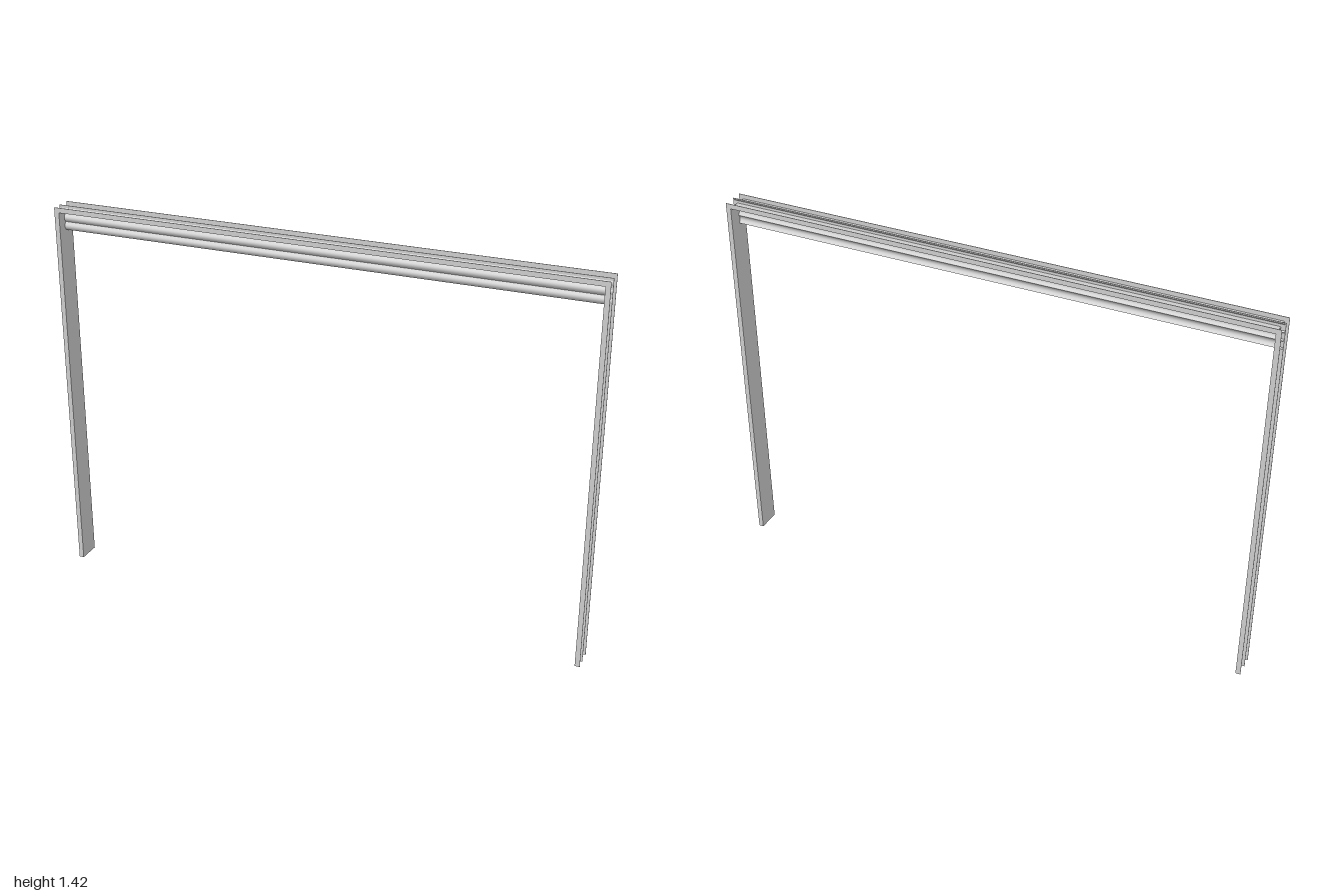
import * as THREE from 'three';

const H = 1.417, LIP = 0.017, DEPTH = 0.085, T = 0.002;

export function createModel() {
  const group = new THREE.Group();
  const mat = new THREE.MeshStandardMaterial({ color: 0xcccccc, side: THREE.DoubleSide });

  const add = (name, geo, x = 0, y = 0, z = 0) => {
    const m = new THREE.Mesh(geo, mat);
    m.name = name;
    m.position.set(x, y, z);
    group.add(m);
  };

  // Arch-shaped strip running up both sides and across the top
  const arch = new THREE.Shape();
  const inner = 1 - LIP, top = H - LIP;
  [[-1, 0], [-inner, 0], [-inner, top], [inner, top], [inner, 0], [1, 0], [1, H], [-1, H]]
    .forEach(([x, y], i) => (i ? arch.lineTo(x, y) : arch.moveTo(x, y)));
  const archGeo = new THREE.ExtrudeGeometry(arch, { depth: T, bevelEnabled: false });

  // Outward lips of the channel and the centre fin between them
  add('frontLip', archGeo, 0, 0, DEPTH / 2 - T);
  add('backLip', archGeo, 0, 0, -DEPTH / 2);
  add('centreFin', archGeo, 0, 0, 0.004);

  // Channel webs
  for (const [name, s] of [['leftJamb', 1], ['rightJamb', -1]]) {
    add(name, new THREE.BoxGeometry(T, top, DEPTH), s * inner, top / 2, 0);
  }
  add('header', new THREE.BoxGeometry(2 * inner, T, DEPTH), 0, top, 0);

  // Raised curtain: curved slats hanging in the middle of the channel
  const slats = 3, pitch = 0.03, bulge = 0.009;
  for (let i = 0; i < slats; i++) {
    const geo = new THREE.PlaneGeometry(2 - 2 * T, pitch, 1, 10);
    const p = geo.attributes.position;
    for (let j = 0; j < p.count; j++) {
      p.setZ(j, bulge * Math.cos((p.getY(j) / pitch) * Math.PI));
    }
    geo.computeVertexNormals();
    add('slat', geo, 0, 1.325 + pitch * (i + 0.5), 0);
  }

  return group;
}
